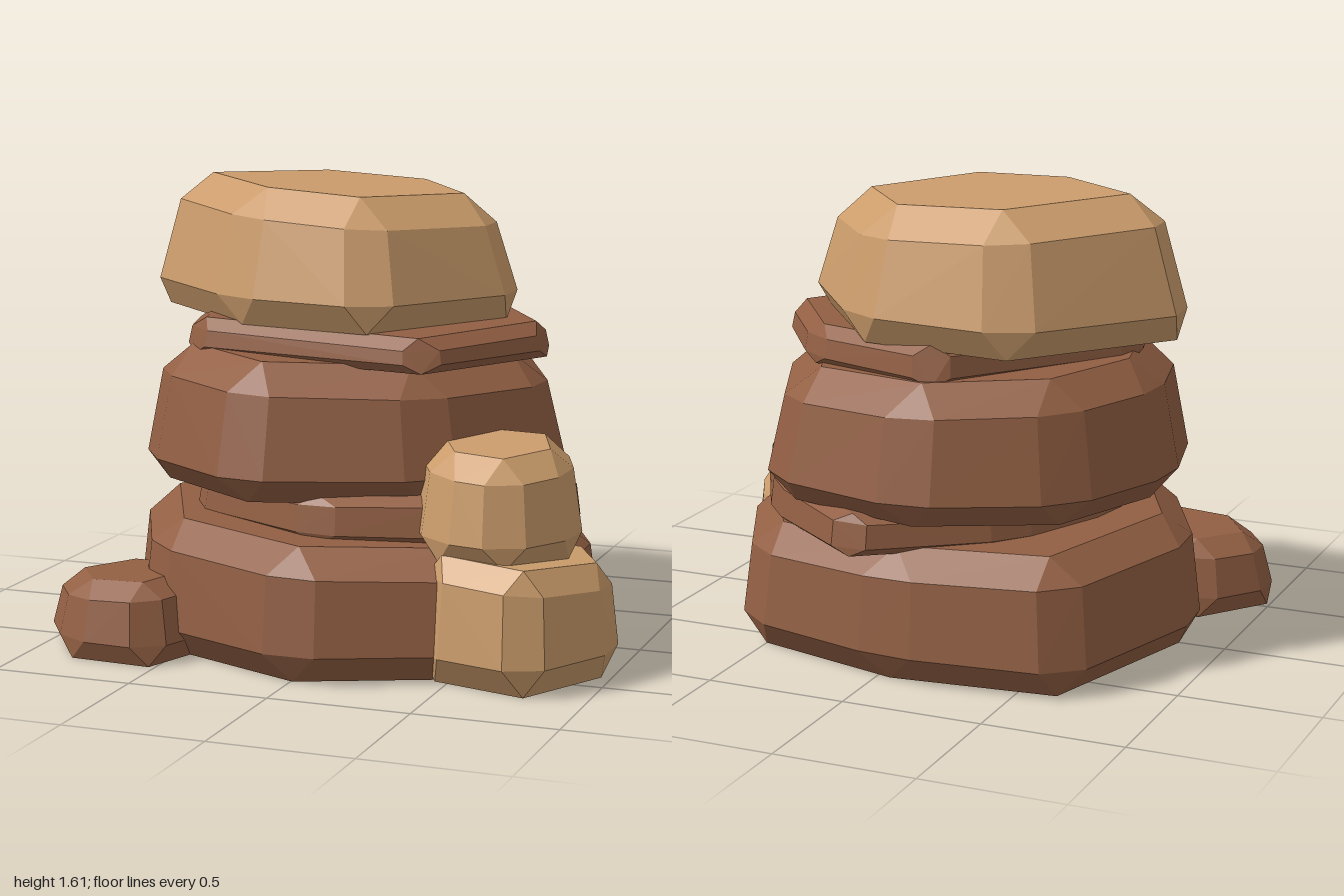
import * as THREE from 'three';
import { ConvexGeometry } from 'three/addons/geometries/ConvexGeometry.js';

const material = (name, color) => {
  const m = new THREE.MeshStandardMaterial({ color });
  m.name = name;
  return m;
};

// Replaces each sharp corner of an outline with two points, "cut" away along its edges.
function chamfer(corners, cut) {
  const n = corners.length, out = [];
  corners.forEach(([x, z], i) => {
    for (const [nx, nz] of [corners[(i + n - 1) % n], corners[(i + 1) % n]]) {
      const t = Math.min(0.45, cut / Math.hypot(nx - x, nz - z));
      out.push([x + (nx - x) * t, z + (nz - z) * t]);
    }
  });
  return out;
}

// A faceted boulder: pointed outline at foot and crown, chamfered outline at belt and shoulder.
// heights and scales run foot, belt, shoulder, crown; tilt slopes the upper two rings.
function rock(name, mat, { corners, cut, heights, scales, tilt = [0, 0] }) {
  const n = corners.length;
  const cx = corners.reduce((s, c) => s + c[0], 0) / n;
  const cz = corners.reduce((s, c) => s + c[1], 0) / n;
  const wide = chamfer(corners, cut);
  const points = [];
  [corners, wide, wide, corners].forEach((ring, k) => {
    for (const [px, pz] of ring) {
      const dx = (px - cx) * scales[k], dz = (pz - cz) * scales[k];
      const slope = k > 1 ? dx * tilt[0] + dz * tilt[1] : 0;
      points.push(new THREE.Vector3(cx + dx, heights[k] + slope, cz + dz));
    }
  });
  const mesh = new THREE.Mesh(new ConvexGeometry(points), mat);
  mesh.name = name;
  return mesh;
}

export function createModel() {
  const brown = material('brown stone', 0x925f43);
  const tan = material('tan stone', 0xcb9c6b);
  const group = new THREE.Group();
  group.name = 'rockStack';

  group.add(
    // Main stack, from the ground up
    rock('baseBoulder', brown, {
      corners: [[0.01, 0.88], [-0.62, 0.62], [-0.92, 0], [-0.7, -0.74],
        [-0.05, -0.81], [0.56, -0.65], [0.86, -0.03], [0.62, 0.62]],
      cut: 0.1, heights: [0, 0.1, 0.36, 0.45], scales: [0.9, 1, 0.96, 0.82], tilt: [-0.025, 0],
    }),
    rock('lowerSlab', brown, {
      corners: [[-0.58, 0.3], [0, 0.6], [0.5, 0.48], [0.8, 0.02],
        [0.52, -0.5], [0.08, -0.83], [-0.4, -0.48], [-0.6, -0.05]],
      cut: 0.08, heights: [0.43, 0.46, 0.55, 0.58], scales: [0.94, 1, 0.98, 0.9], tilt: [0.025, 0.01],
    }),
    rock('middleBoulder', brown, {
      corners: [[-0.24, 0.71], [0.4, 0.48], [0.71, -0.07], [0.42, -0.72],
        [-0.15, -0.87], [-0.66, -0.62], [-0.85, -0.13], [-0.73, 0.38]],
      cut: 0.1, heights: [0.56, 0.65, 0.93, 1.03], scales: [0.87, 1, 0.92, 0.75], tilt: [-0.025, 0],
    }),
    rock('upperSlab', brown, {
      corners: [[0.36, 0.48], [0.66, -0.07], [0.36, -0.51],
        [-0.18, -0.69], [-0.68, -0.02], [-0.59, 0.31]],
      cut: 0.08, heights: [1.01, 1.04, 1.1, 1.14], scales: [0.95, 1, 0.98, 0.89], tilt: [-0.01, -0.02],
    }),
    rock('topBoulder', tan, {
      corners: [[-0.47, -0.71], [0.14, -0.64], [0.54, -0.11],
        [0.16, 0.46], [-0.4, 0.36], [-0.93, -0.13]],
      cut: 0.1, heights: [1.125, 1.225, 1.49, 1.59], scales: [0.89, 1, 0.88, 0.66], tilt: [-0.045, 0],
    }),
    // Small rocks at the foot
    rock('sideRock', brown, {
      corners: [[-1.03, 0.53], [-0.84, 0.81], [-0.5, 0.83],
        [-0.42, 0.6], [-0.5, 0.3], [-0.82, 0.25]],
      cut: 0.08, heights: [0, 0.07, 0.215, 0.27], scales: [0.88, 1, 0.88, 0.58], tilt: [0.04, 0],
    }),
    rock('lowerPebble', tan, {
      corners: [[1.04, 0.38], [0.87, 0.04], [0.5, 0.05],
        [0.36, 0.4], [0.4, 0.68], [0.82, 0.79]],
      cut: 0.09, heights: [0, 0.1, 0.33, 0.41], scales: [0.8, 1, 0.93, 0.74], tilt: [-0.05, 0.06],
    }),
    rock('upperPebble', tan, {
      corners: [[0.42, 0.04], [0.77, 0.05], [0.9, 0.38],
        [0.72, 0.69], [0.42, 0.63], [0.28, 0.36]],
      cut: 0.09, heights: [0.4, 0.48, 0.7, 0.775], scales: [0.82, 1, 0.89, 0.6], tilt: [-0.02, -0.05],
    }),
  );
  return group;
}
